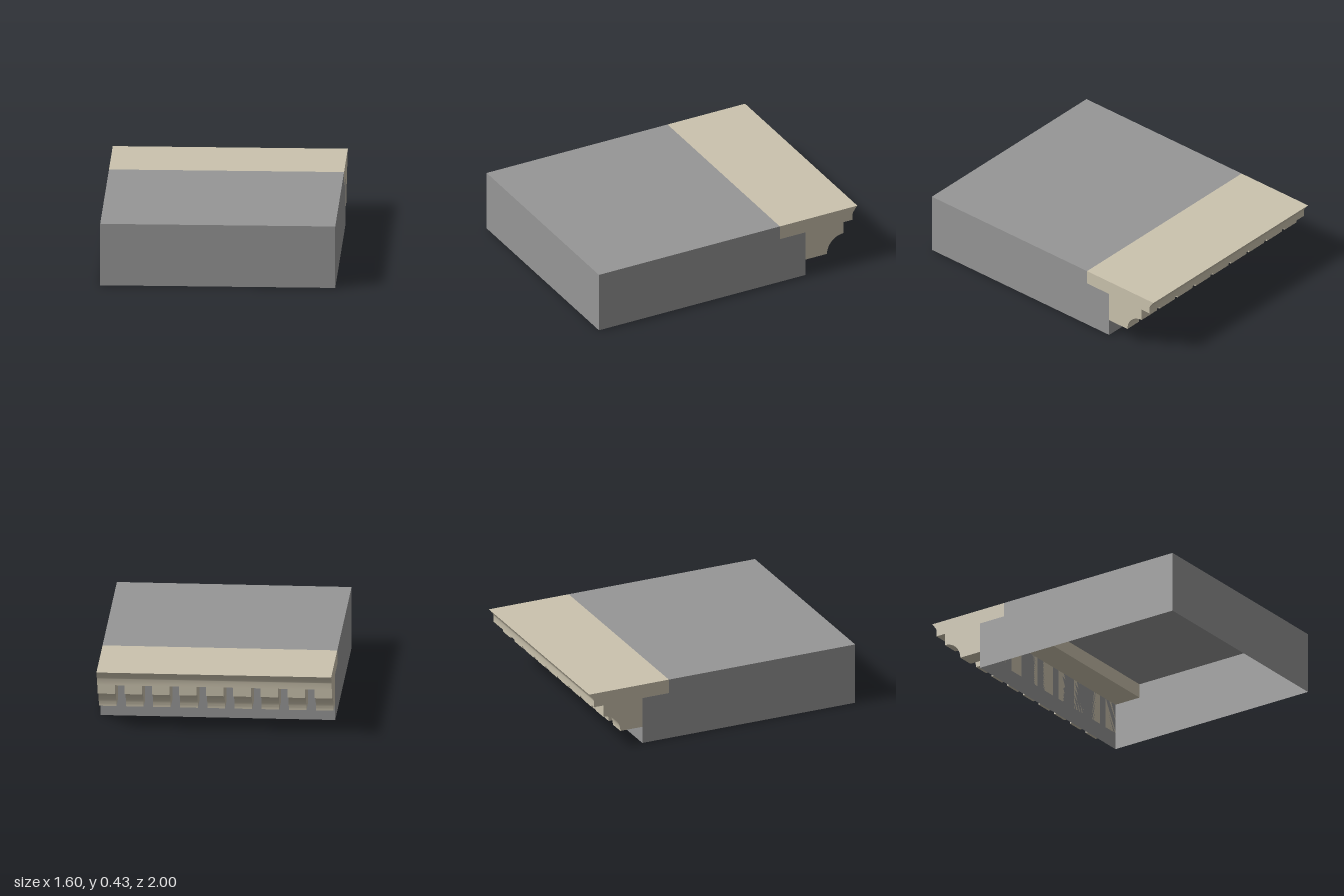
import * as THREE from 'three';
import { toCreasedNormals } from 'three/addons/utils/BufferGeometryUtils.js';

const W = 1.6, TOP = 0.433, SOFFIT = 0.333;

const grey = new THREE.MeshStandardMaterial({ color: 0x969696, side: THREE.DoubleSide });
const stone = new THREE.MeshStandardMaterial({ color: 0xcbc3ae });

// Profiles are drawn as (distance to the back, height) and run across the width in x.
function extrudeAcross(name, shape, width, x) {
  const geo = new THREE.ExtrudeGeometry(shape, { depth: width, bevelEnabled: false, curveSegments: 10 });
  geo.translate(0, 0, -width / 2).rotateY(Math.PI / 2);
  const mesh = new THREE.Mesh(toCreasedNormals(geo, 0.5), stone);
  mesh.name = name;
  mesh.position.x = x;
  return mesh;
}

// Thin panel facing +z before it is turned and placed
function panel(name, w, h, position, rx = 0, ry = 0) {
  const mesh = new THREE.Mesh(new THREE.PlaneGeometry(w, h), grey);
  mesh.name = name;
  mesh.rotation.set(rx, ry, 0);
  mesh.position.set(...position);
  return mesh;
}

export function createModel() {
  const model = new THREE.Group();
  model.name = 'corniceBlock';

  // Hollow body, open underneath
  const body = new THREE.Group();
  body.name = 'body';
  body.add(
    panel('frontWall', W, TOP, [0, TOP / 2, 1]),
    panel('backWall', W, SOFFIT, [0, SOFFIT / 2, -0.6], 0, Math.PI),
    panel('deck', W, 1.4, [0, TOP, 0.3], -Math.PI / 2)
  );

  // Side walls, notched where the cornice slab sits
  const side = new THREE.Shape([
    [-1, 0], [0.6, 0], [0.6, SOFFIT], [0.4, SOFFIT], [0.4, TOP], [-1, TOP]
  ].map(([u, v]) => new THREE.Vector2(u, v)));
  for (const s of [-1, 1]) {
    const shape = s > 0 ? side : new THREE.Shape(side.getPoints().map(p => new THREE.Vector2(-p.x, p.y)));
    const wall = new THREE.Mesh(new THREE.ShapeGeometry(shape), grey);
    wall.name = s > 0 ? 'leftWall' : 'rightWall';
    wall.rotation.y = s * Math.PI / 2;
    wall.position.x = s * W / 2;
    body.add(wall);
  }
  model.add(body);

  // Cornice slab with a small cove under its back lip
  const slab = new THREE.Shape();
  slab.moveTo(0.4, SOFFIT);
  slab.lineTo(0.963, SOFFIT);
  slab.lineTo(0.963, 0.378);
  slab.quadraticCurveTo(0.968, 0.398, 1, TOP);
  slab.lineTo(0.4, TOP);
  slab.closePath();
  model.add(extrudeAcross('corniceSlab', slab, W, 0));

  // Row of coved brackets below the slab
  const bracket = new THREE.Shape();
  bracket.moveTo(0.6, 0.12);
  bracket.lineTo(0.765, 0.12);
  bracket.absarc(0.893, 0.12, 0.128, Math.PI, Math.PI / 2, true);
  bracket.lineTo(0.893, SOFFIT);
  bracket.lineTo(0.6, SOFFIT);
  bracket.closePath();
  const count = 9, width = 0.12, step = (W - width) / (count - 1);
  const brackets = new THREE.Group();
  brackets.name = 'brackets';
  for (let i = 0; i < count; i++) {
    brackets.add(extrudeAcross('bracket', bracket, width, (i - (count - 1) / 2) * step));
  }
  model.add(brackets);

  return model;
}
